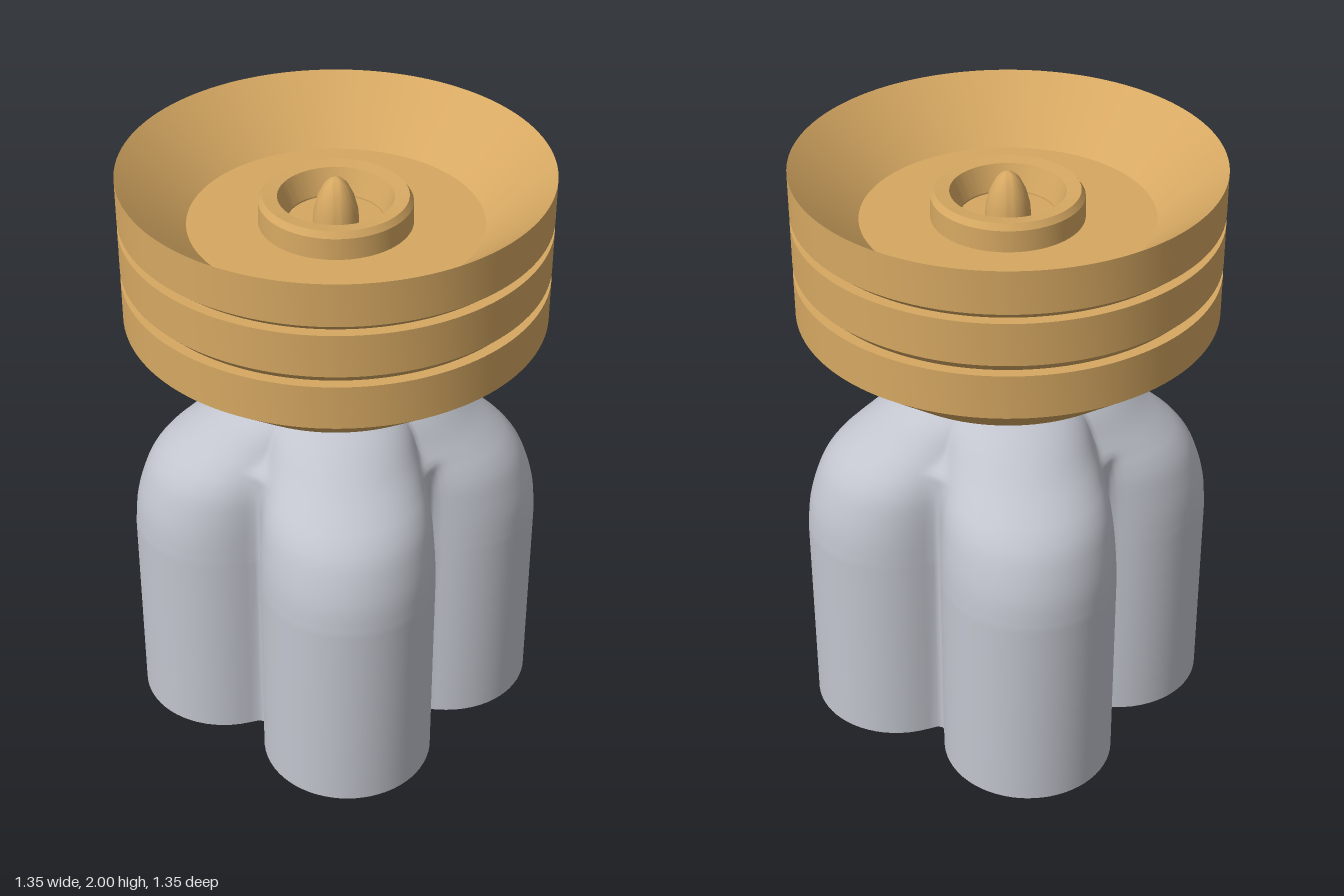
import * as THREE from 'three';
import { toCreasedNormals } from 'three/addons/utils/BufferGeometryUtils.js';

const TURN = 0.04; // slight twist of the four-lobed base
const AROUND = 160;

// Outline radius of the four-lobed section: lobe offset d, lobe radius R
function lobedRadius(angle, d, R) {
  const quarter = Math.PI / 2;
  const a = angle - Math.round(angle / quarter) * quarter;
  const s = d * Math.sin(a);
  const lobe = d * Math.cos(a) + Math.sqrt(Math.max(0, R * R - s * s));
  const valley = Math.min(0.39, 0.75 * (d + R)); // filleted groove between lobes
  const soft = 0.03 * (d + R);
  return 0.5 * (lobe + valley + Math.hypot(lobe - valley, soft));
}

// Lofted shell of the base, from the floor to the domed top
function lobedShell() {
  // [height, lobe offset, lobe radius]
  const sections = [
    [0.7, 0.39, 0.283], [0.8, 0.383, 0.28], [0.88, 0.367, 0.275], [0.95, 0.345, 0.268],
    [1.0, 0.318, 0.258], [1.04, 0.285, 0.248], [1.1, 0.222, 0.238], [1.19, 0.135, 0.222],
    [1.25, 0.075, 0.185], [1.29, 0.03, 0.12], [1.31, 0.012, 0.063], [1.32, 0, 0.001],
  ].map((s) => new THREE.Vector3(...s));
  const rows = [new THREE.Vector3(0, 0.39, 0.283),
    ...new THREE.CatmullRomCurve3(sections).getPoints(44)];
  const pos = [], index = [];
  rows.forEach(({ x: y, y: d, z: R }, j) => {
    for (let i = 0; i < AROUND; i++) {
      const t = (i / AROUND) * Math.PI * 2;
      const r = lobedRadius(t, Math.max(0, d), Math.max(0, R));
      pos.push(r * Math.cos(t), y, r * Math.sin(t));
      if (j === 0) continue;
      const k = (i + 1) % AROUND;
      const a = (j - 1) * AROUND + i, b = (j - 1) * AROUND + k;
      const c = j * AROUND + k, e = j * AROUND + i;
      index.push(a, e, b, b, e, c);
    }
  });
  const geo = new THREE.BufferGeometry();
  geo.setAttribute('position', new THREE.Float32BufferAttribute(pos, 3));
  geo.setIndex(index);
  geo.computeVertexNormals();
  return geo;
}

// Flat underside with a round bore
function lobedBottom(bore) {
  const pts = [];
  for (let i = 0; i < AROUND; i++) {
    const t = (i / AROUND) * Math.PI * 2;
    const r = lobedRadius(t, 0.39, 0.283);
    pts.push(new THREE.Vector2(r * Math.cos(t), r * Math.sin(t)));
  }
  const shape = new THREE.Shape(pts);
  shape.holes.push(new THREE.Path().absarc(0, 0, bore, 0, Math.PI * 2, true));
  return new THREE.ShapeGeometry(shape, 24).rotateX(Math.PI / 2);
}

// Turned part with crisp edges
function turned(profile, segments = 96, crease = 0.14) {
  const points = profile.map(([r, y]) => new THREE.Vector2(r, y));
  return toCreasedNormals(new THREE.LatheGeometry(points, segments), crease);
}

export function createModel() {
  const model = new THREE.Group();
  const gold = new THREE.MeshStandardMaterial({ name: 'gold', color: 0xd6a862 });
  const grey = new THREE.MeshStandardMaterial({ name: 'grey', color: 0xc2c5ce, side: THREE.DoubleSide });
  const add = (parent, name, geo, material) => {
    const mesh = new THREE.Mesh(geo, material);
    mesh.name = name;
    parent.add(mesh);
    return mesh;
  };

  // Four-lobed base with a bore up its axis
  const base = new THREE.Group();
  base.name = 'lobedBase';
  base.rotation.y = TURN;
  model.add(base);
  add(base, 'baseShell', lobedShell(), grey);
  add(base, 'baseUnderside', lobedBottom(0.077), grey);
  const bore = new THREE.CylinderGeometry(0.077, 0.077, 1.2, 32, 1, true).translate(0, 0.6, 0);
  add(base, 'baseBore', bore, grey);

  // Grooved cup: underside, stacked bands, flared inside, floor
  add(model, 'groovedCup', turned([
    [0, 1.327], [0.24, 1.327], [0.46, 1.345], [0.67, 1.51],
    [0.67, 1.655], [0.635, 1.655], [0.67, 1.69],
    [0.67, 1.83], [0.635, 1.83], [0.67, 1.86],
    [0.67, 2], [0.46, 1.82], [0, 1.82],
  ], 128), gold);

  // Thin collar under the cup
  add(model, 'collar', turned([
    [0.13, 1.33], [0.13, 1.319], [0.235, 1.319], [0.235, 1.332],
  ]), grey);

  // Raised ring on the cup floor
  add(model, 'innerRing', turned([
    [0.24, 1.815], [0.238, 1.89], [0.225, 1.91], [0.18, 1.905], [0.15, 1.825], [0.15, 1.815],
  ]), gold);

  // Pointed spike in the middle of the ring
  add(model, 'spike', turned([
    [0.072, 1.815], [0.068, 1.86], [0.056, 1.905], [0.036, 1.945], [0.018, 1.963], [0, 1.97],
  ], 48, 0.7), gold);

  return model;
}
